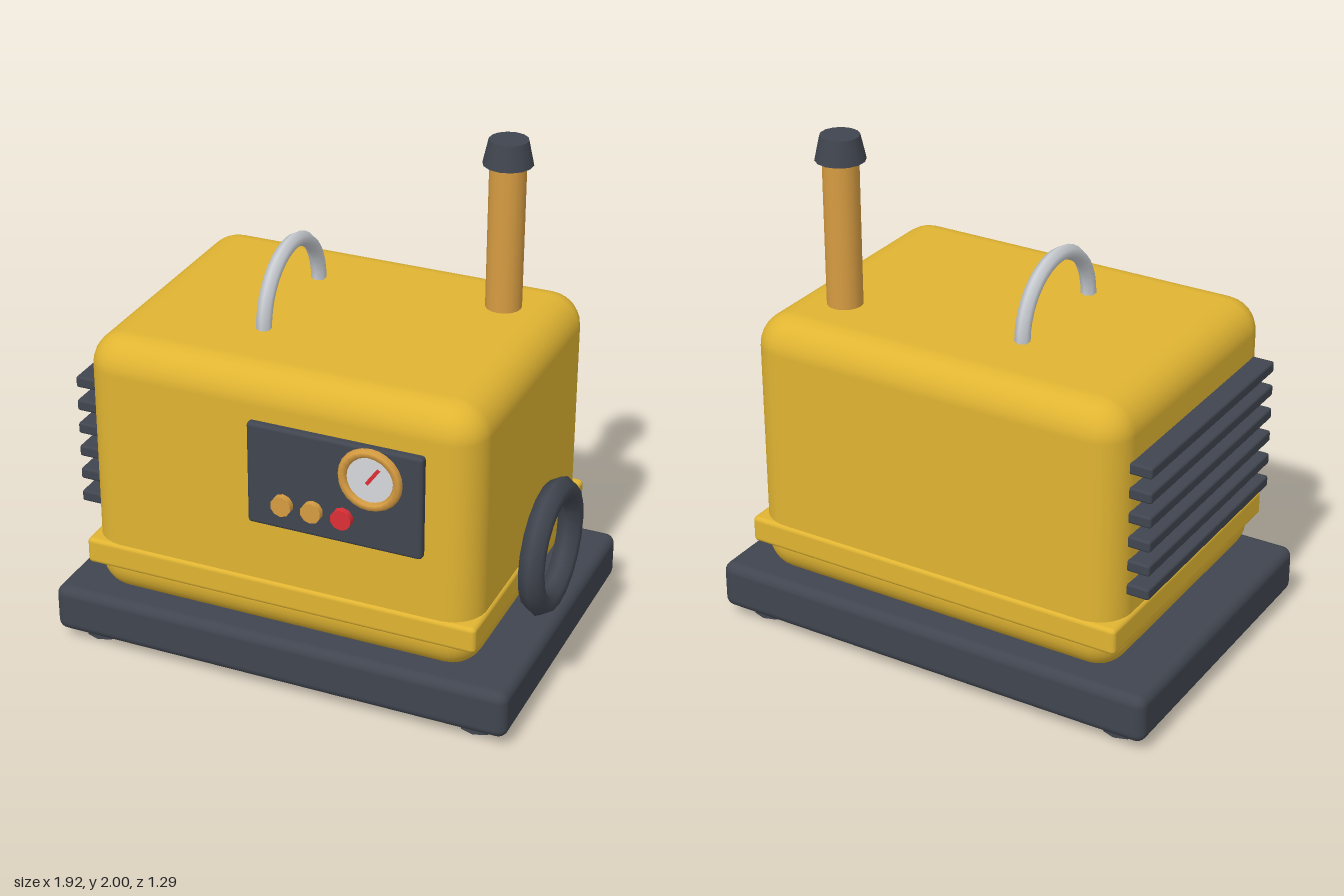
import * as THREE from 'three';
import { RoundedBoxGeometry } from 'three/addons/geometries/RoundedBoxGeometry.js';

const material = (name, color) => {
  const m = new THREE.MeshStandardMaterial({ color });
  m.name = name;
  return m;
};

export function createModel() {
  const yellow = material('yellow paint', 0xe0b432);
  const dark = material('dark rubber', 0x40454f);
  const brass = material('brass', 0xd69c42);
  const steel = material('steel', 0xc8ccd1);
  const white = material('dial white', 0xd6d8dc);
  const red = material('red', 0xdc2f36);

  const model = new THREE.Group();
  model.name = 'generator';

  const add = (name, geometry, mat, x, y, z, parent = model) => {
    const mesh = new THREE.Mesh(geometry, mat);
    mesh.name = name;
    mesh.position.set(x, y, z);
    parent.add(mesh);
    return mesh;
  };
  const group = (name) => {
    const g = new THREE.Group();
    g.name = name;
    model.add(g);
    return g;
  };
  const CX = -0.022, CZ = -0.005; // centre of the housing

  // Base plate and feet
  add('base', new RoundedBoxGeometry(1.875, 0.195, 1.28, 3, 0.04), dark, CX, 0.142, CZ);
  const feet = group('feet');
  for (const sx of [-1, 1]) {
    for (const sz of [-1, 1]) {
      add('foot', new THREE.CylinderGeometry(0.085, 0.085, 0.06, 10), dark,
        CX + sx * 0.79, 0.03, CZ + sz * 0.495, feet);
    }
  }

  // Rounded housing with a thin trim band
  add('housing', new RoundedBoxGeometry(1.577, 1.087, 1.19, 4, 0.13), yellow, CX, 0.783, CZ);
  add('trimBand', new RoundedBoxGeometry(1.597, 0.108, 1.21, 2, 0.018), yellow, CX, 0.42, CZ);

  // Cooling fins on the right side
  const fins = group('coolingFins');
  for (let i = 0; i < 6; i++) {
    add('fin', new RoundedBoxGeometry(0.12, 0.046, 0.99, 2, 0.01), dark,
      -0.835, 0.588 + i * 0.0987, CZ, fins);
  }

  // Exhaust pipe with a tapered cap
  add('exhaustPipe', new THREE.CylinderGeometry(0.07, 0.07, 0.62, 16), brass, 0.52, 1.6, -0.303);
  add('exhaustCap', new THREE.CylinderGeometry(0.075, 0.096, 0.096, 14), dark, 0.52, 1.952, -0.303);

  // Carrying handle arching front to back
  const handle = add('handle', new THREE.TorusGeometry(0.246, 0.03, 6, 20, Math.PI), steel,
    -0.223, 1.328, CZ);
  handle.rotation.y = Math.PI / 2;

  // Hand ring on the left side
  const ring = add('handRing', new THREE.TorusGeometry(0.216, 0.049, 6, 20), dark, 0.916, 0.64, 0.195);
  ring.rotation.y = Math.PI / 2;

  // Control panel
  add('controlPanel', new RoundedBoxGeometry(0.69, 0.415, 0.05, 2, 0.014), dark, 0.225, 0.933, 0.594);

  // Gauge: bezel, dial and needle
  const gauge = group('gauge');
  gauge.position.set(0.372, 1.018, 0);
  const bezel = add('bezel', new THREE.TorusGeometry(0.107, 0.019, 6, 24), brass, 0, 0, 0.625, gauge);
  bezel.scale.z = 1.1;
  const dial = add('dial', new THREE.CylinderGeometry(0.1, 0.1, 0.009, 24), white, 0, 0, 0.6235, gauge);
  dial.rotation.x = Math.PI / 2;
  const needle = add('needle', new THREE.BoxGeometry(0.014, 0.08, 0.006), red, 0.012, 0.016, 0.63, gauge);
  needle.rotation.z = -0.62;

  // Row of buttons, the last one red
  const buttons = group('buttons');
  [brass, brass, red].forEach((mat, i) => {
    const button = add('button', new THREE.CylinderGeometry(0.041, 0.041, 0.035, 10), mat,
      0.026 + i * 0.119, 0.835, 0.6275, buttons);
    button.rotation.x = Math.PI / 2;
  });

  return model;
}
